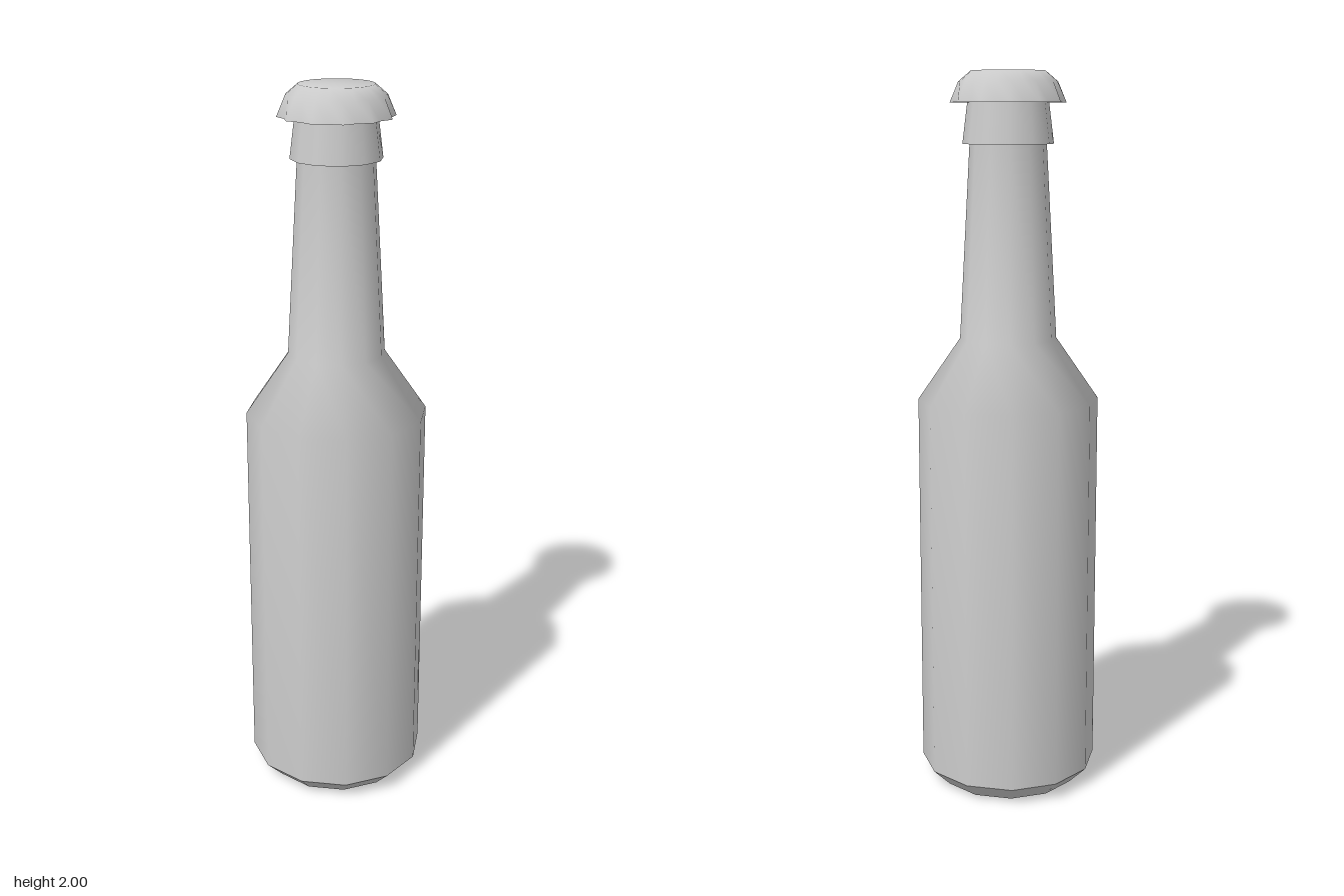
import * as THREE from 'three';
import { mergeVertices } from 'three/addons/utils/BufferGeometryUtils.js';

const material = new THREE.MeshStandardMaterial({ color: 0xcccccc });

// Lathe from [radius, y] pairs, bottom to top; each call is one smooth surface
function lathe(profile, sides = 12) {
  return new THREE.LatheGeometry(profile.map(([r, y]) => new THREE.Vector2(r, y)), sides);
}

// Pull every second rim vertex inward to crimp the lower edge
function crimp(geometry, rimY, depth) {
  const p = geometry.attributes.position;
  for (let i = 0; i < p.count; i++) {
    const r = Math.hypot(p.getX(i), p.getZ(i));
    if (r < 0.15 || Math.abs(p.getY(i) - rimY) > 0.001) continue;
    const step = Math.round(Math.atan2(p.getX(i), p.getZ(i)) / (Math.PI / 12));
    if (step % 2 === 0) continue;
    const s = (r - depth) / r;
    p.setX(i, p.getX(i) * s);
    p.setZ(i, p.getZ(i) * s);
  }
  geometry.deleteAttribute('uv');
  geometry.deleteAttribute('normal');
  const merged = mergeVertices(geometry, 1e-4);
  merged.computeVertexNormals();
  return merged;
}

export function createModel() {
  const model = new THREE.Group();
  model.name = 'bottle';
  const add = (name, geometry) => {
    const mesh = new THREE.Mesh(geometry, material);
    mesh.name = name;
    model.add(mesh);
  };

  // Glass: flat base, bevelled foot, body running through shoulder into neck
  add('base', lathe([[0, 0], [0.2, 0]]));
  add('foot', lathe([[0.2, 0], [0.25, 0.05]]));
  add('body', lathe([[0.25, 0.05], [0.25, 1.115], [0.133, 1.285], [0.104, 1.81], [0.1, 1.93]]));

  // Collar below the cap
  add('collarUnderside', lathe([[0.1, 1.81], [0.123, 1.81]]));
  add('collar', lathe([[0.123, 1.81], [0.108, 1.93]]));

  // Crimped crown cap
  const rimY = 1.918;
  add('cap', crimp(lathe([[0.156, rimY], [0.133, 1.972], [0.1, 2], [0, 2]], 24), rimY, 0.013));
  add('capUnderside', crimp(lathe([[0.1, rimY], [0.156, rimY]], 24), rimY, 0.013));
  return model;
}
